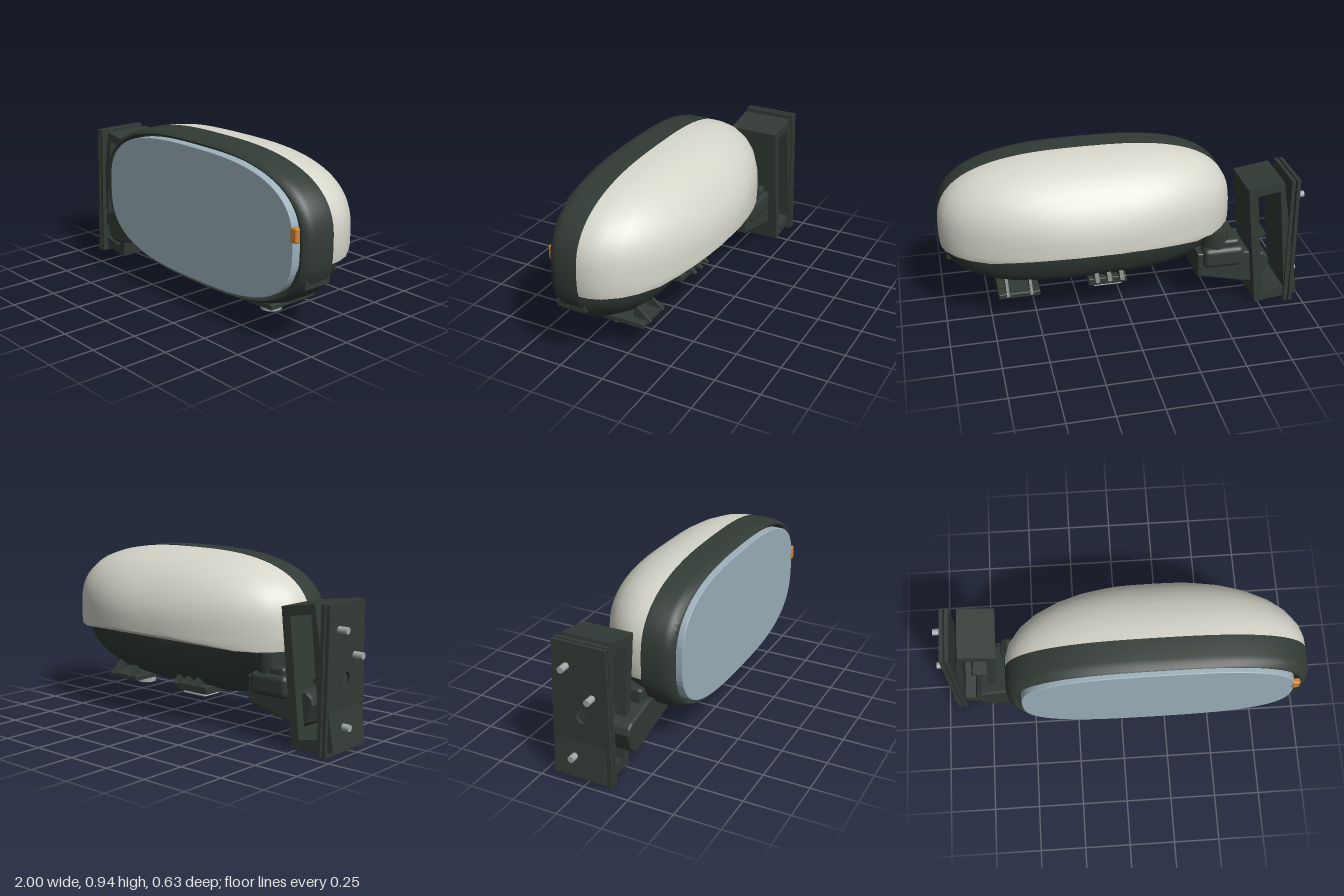
import * as THREE from 'three';
import { toCreasedNormals } from 'three/addons/utils/BufferGeometryUtils.js';
import { RoundedBoxGeometry } from 'three/addons/geometries/RoundedBoxGeometry.js';

const CX = 0.19, CY = 0.54, SIDES = 80;

// Point on the rounded-rectangle outline with half sizes a and b
function outline(t, a, b, n = 2.75) {
  const c = Math.cos(t), s = Math.sin(t);
  return [
    CX + a * Math.sign(c) * Math.abs(c) ** (2 / n),
    CY + b * Math.sign(s) * Math.abs(s) ** (2 / n),
  ];
}

// Skin over outline rings [a, b, z]; limitY may clamp heights
function loft(rings, limitY = (y) => y, crease = 0.6) {
  const pos = [], index = [];
  rings.forEach(([a, b, z], i) => {
    for (let j = 0; j < SIDES; j++) {
      const [x, y] = outline((j / SIDES) * Math.PI * 2, a, b);
      pos.push(x, limitY(y, z), z);
      if (i === rings.length - 1) continue;
      const p = i * SIDES + j, q = i * SIDES + ((j + 1) % SIDES);
      index.push(p, p + SIDES, q, q, p + SIDES, q + SIDES);
    }
  });
  const g = new THREE.BufferGeometry();
  g.setAttribute('position', new THREE.Float32BufferAttribute(pos, 3));
  g.setIndex(index);
  return toCreasedNormals(g, crease);
}

// Polygon in the xy plane extruded from z0 to z1
function slab(points, z0, z1, hole, bevel = 0) {
  const shape = new THREE.Shape(points.map((p) => new THREE.Vector2(...p)));
  if (hole) shape.holes.push(new THREE.Path(hole.map((p) => new THREE.Vector2(...p))));
  const g = new THREE.ExtrudeGeometry(shape, {
    depth: z1 - z0 - 2 * bevel, bevelEnabled: bevel > 0, bevelSize: bevel,
    bevelThickness: bevel, bevelOffset: -bevel, bevelSegments: 3,
  });
  return g.translate(0, 0, z0 + bevel);
}

export function createModel() {
  const model = new THREE.Group();
  const material = (name, color, side = THREE.FrontSide) => {
    const m = new THREE.MeshStandardMaterial({ color, side });
    m.name = name;
    return m;
  };
  const dark = material('dark plastic', 0x323b35, THREE.DoubleSide);
  const white = material('off-white cover', 0xd6d6cb, THREE.DoubleSide);
  const glass = material('mirror glass', 0x9db1bc);
  const amber = material('amber lens', 0xd08334);
  const metal = material('grey metal', 0x9eaaa8);

  const add = (name, geometry, mat, x = 0, y = 0, z = 0) => {
    const mesh = new THREE.Mesh(geometry, mat);
    mesh.name = name;
    mesh.position.set(x, y, z);
    model.add(mesh);
    return mesh;
  };
  // Box given by its limits on each axis, optionally rounded
  const box = (name, mat, [x0, x1], [y0, y1], [z0, z1], r = 0) => {
    const s = [x1 - x0, y1 - y0, z1 - z0];
    const g = r ? new RoundedBoxGeometry(...s, 3, r) : new THREE.BoxGeometry(...s);
    return add(name, g, mat, (x0 + x1) / 2, (y0 + y1) / 2, (z0 + z1) / 2);
  };

  // Rim with its recessed back panel
  add('rim', loft([
    [0.001, 0.001, 0.25], [0.742, 0.37, 0.25], [0.748, 0.372, 0.284],
    [0.765, 0.38, 0.292], [0.782, 0.386, 0.286], [0.8, 0.396, 0.262],
    [0.81, 0.4, 0.235], [0.81, 0.4, 0.12],
  ]), dark);

  // Upper back cover, cut off along its lower edge
  const coverRings = [[0.81, 0.397, 0.12]];
  for (const z of [0.065, 0, -0.08, -0.14, -0.2, -0.245, -0.278, -0.3, -0.313]) {
    const s = Math.sqrt(1 - ((0.09 - Math.min(z, 0.09)) / 0.408) ** 2);
    coverRings.push([0.81 * s, 0.397 * s, z]);
  }
  coverRings.push([0.001, 0.001, -0.314]);
  const lip = (z) => 0.445 + 0.015 * Math.min(1, (0.12 - z) / 0.32)
    + 0.042 * Math.max(0, (-0.2 - z) / 0.11);
  add('backCover', loft(coverRings, (y, z) => Math.max(y, lip(z)), 0.7), white);

  // Lower dark housing under the cover
  add('lowerHousing', loft([
    [0.81, 0.4, 0.121], [0.785, 0.376, 0.06], [0.755, 0.348, 0],
    [0.72, 0.316, -0.04], [0.68, 0.275, -0.075], [0.62, 0.19, -0.1],
    [0.55, 0.08, -0.12], [0.001, 0.001, -0.12],
  ], (y) => Math.min(y, 0.47)), dark);

  // Mirror glass
  const edge = [];
  for (let j = 0; j < SIDES; j++) edge.push(outline((j / SIDES) * Math.PI * 2, 0.728, 0.36, 2.85));
  add('mirrorGlass', slab(edge, 0.26, 0.312, null, 0.004), glass);

  // Amber lens at the outer edge
  box('amberLens', amber, [0.9, 0.943], [0.575, 0.652], [0.285, 0.316], 0.009);

  // Outer clip with pale fork
  box('sideClip', dark, [0.87, 0.968], [0.335, 0.423], [0.1, 0.27], 0.006);
  for (const z of [0.15, 0.245]) box('clipProng', dark, [0.9, 0.972], [0.42, 0.47], [z - 0.012, z + 0.012]);
  box('clipInsert', metal, [0.9, 0.968], [0.42, 0.455], [0.16, 0.235]);

  // Lower sensor on its mounting plate
  box('sensorPlate', dark, [0.48, 0.71], [0.145, 0.176], [-0.07, 0.24], 0.006);
  add('sensorBody', new THREE.CylinderGeometry(0.056, 0.056, 0.055, 28), metal, 0.595, 0.126, 0.13);
  add('sensorTip', new THREE.CylinderGeometry(0.038, 0.038, 0.012, 24), dark, 0.595, 0.096, 0.13);
  for (const x of [0.53, 0.66]) {
    add('plateGusset', slab([[0, 0], [0.1, 0], [0, 0.09]], -0.008, 0.008), dark, x, 0.17, 0.01)
      .rotation.y = Math.PI / 2;
  }

  // Entry lamp and the ribs behind it
  box('lampFrame', dark, [-0.02, 0.2], [0.135, 0.178], [-0.02, 0.15], 0.006);
  box('lampLens', white, [0.005, 0.17], [0.117, 0.145], [-0.005, 0.12], 0.008);
  for (const x of [0.02, 0.09, 0.16]) {
    add('lampRib', slab([[0, 0], [0.1, 0.01], [0, 0.09]], -0.012, 0.012), dark, x, 0.185, 0.01)
      .rotation.y = Math.PI / 2;
  }

  // Support arm and its pivot
  add('supportArm', slab([
    [-0.79, 0.14], [-0.765, 0.115], [-0.72, 0.108], [-0.4, 0.185], [-0.4, 0.33], [-0.6, 0.33],
    [-0.78, 0.292], [-0.81, 0.27], [-0.82, 0.235],
  ], -0.13, 0.158, null, 0.012), dark);
  box('armCollar', dark, [-0.64, -0.5], [0.25, 0.4], [-0.135, 0.13], 0.02);
  box('pivotBlock', dark, [-0.665, -0.43], [0.24, 0.36], [-0.158, -0.04], 0.03);
  add('pivotCap', new THREE.CylinderGeometry(0.075, 0.075, 0.14, 24), dark, -0.51, 0.39, -0.07);
  box('lever', dark, [-0.83, -0.71], [0.325, 0.352], [-0.03, 0.06]).rotation.z = -0.42;

  // Slanted door bracket frame
  add('bracketFrame', slab(
    [[-0.98, 0.035], [-0.73, 0.004], [-0.655, 0.725], [-0.855, 0.755]], -0.182, 0.1,
    [[-0.9, 0.085], [-0.773, 0.062], [-0.709, 0.682], [-0.836, 0.702]],
  ), dark);

  // Pair of mounting plates, each with a round hole
  for (const x of [-0.947, -0.917]) {
    const hole = Array.from({ length: 24 }, (_, i) => {
      const t = (i / 24) * Math.PI * 2;
      return [0.03 + 0.032 * Math.cos(t), 0.37 + 0.042 * Math.sin(t)];
    });
    add('mountingPlate', slab(
      [[-0.132, 0.003], [0.203, 0.003], [0.185, 0.76], [-0.115, 0.76]], 0, 0.02, hole,
    ).rotateY(Math.PI / 2), dark, x);
  }

  // Mounting studs
  for (const [y, z] of [[0.632, -0.105], [0.487, 0.035], [0.14, -0.07]]) {
    add('mountingStud', new THREE.CylinderGeometry(0.018, 0.018, 0.1, 16).rotateZ(Math.PI / 2), metal, -0.95, y, z);
  }

  return model;
}
